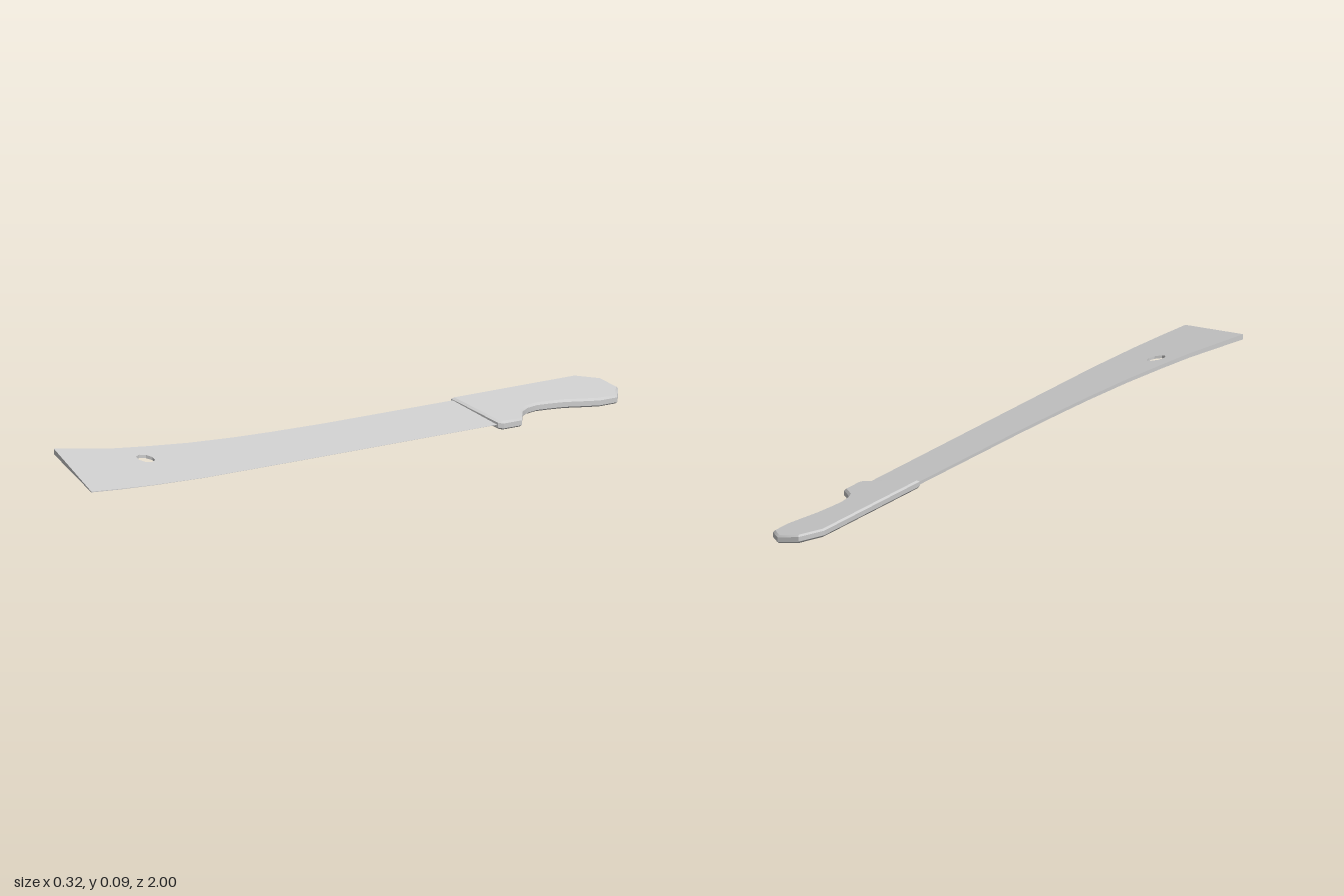
import * as THREE from 'three';
import { toCreasedNormals } from 'three/addons/utils/BufferGeometryUtils.js';

const TILT = 0.221; // slope of the knife's plane, falling towards +x

// Outline given as [x, z] pairs
const outline = (pts) => new THREE.Shape(pts.map(([x, z]) => new THREE.Vector2(x, -z)));

// Extrudes an outline, sets its thickness with a rule over x, then tilts it
function plate(shape, thickness, bevel) {
  let geo = new THREE.ExtrudeGeometry(shape, {
    depth: 1 - 2 * bevel.depth, bevelEnabled: bevel.depth > 0, bevelSegments: 1,
    bevelThickness: bevel.depth, bevelSize: bevel.size, bevelOffset: -bevel.size,
  });
  geo.translate(0, 0, bevel.depth - 0.5);
  geo.rotateX(-Math.PI / 2);
  const p = geo.attributes.position;
  for (let i = 0; i < p.count; i++) {
    const x = p.getX(i);
    p.setY(i, p.getY(i) * thickness(x) + 0.0465 - TILT * x);
  }
  geo.computeVertexNormals();
  return toCreasedNormals(geo, 0.6);
}

export function createModel() {
  const group = new THREE.Group();
  const steel = new THREE.MeshStandardMaterial({ color: 0xcccccc });
  steel.name = 'light grey';

  // Blade: thick spine on -x, sharp edge on +x, flared slanted end
  const bladeShape = outline([
    [-0.03, -0.53], [-0.032, 0], [-0.038, 0.19], [-0.045, 0.32], [-0.06, 0.476],
    [-0.082, 0.61], [-0.103, 0.714], [-0.16, 0.885], [0.108, 1],
    [0.122, 0.9], [0.133, 0.79], [0.143, 0.61], [0.144, 0.3], [0.144, -0.53],
  ]);
  // Hanging hole
  const hole = [];
  for (let i = 0; i < 8; i++) {
    const a = (i / 8) * Math.PI * 2;
    hole.push(new THREE.Vector2(-0.018 + 0.026 * Math.cos(a), -0.677 + 0.026 * Math.sin(a)));
  }
  bladeShape.holes.push(new THREE.Path(hole));
  const blade = new THREE.Mesh(
    plate(bladeShape, (x) => 0.0005 + 0.0475 * (0.146 - x), { depth: 0, size: 0 }), steel);
  blade.name = 'blade';

  // Handle: chamfered slab with a finger grip and guard
  const handleShape = outline([
    [-0.036, -0.483], [-0.036, -0.94], [0.008, -1], [0.077, -1], [0.126, -0.95],
    [0.126, -0.885], [0.115, -0.84], [0.099, -0.78], [0.092, -0.73], [0.088, -0.685],
    [0.094, -0.645], [0.109, -0.612], [0.158, -0.562], [0.158, -0.495], [0.148, -0.483],
  ]);
  const handle = new THREE.Mesh(
    plate(handleShape, () => 0.024, { depth: 0.22, size: 0.006 }), steel);
  handle.name = 'handle';

  group.add(blade, handle);
  return group;
}
